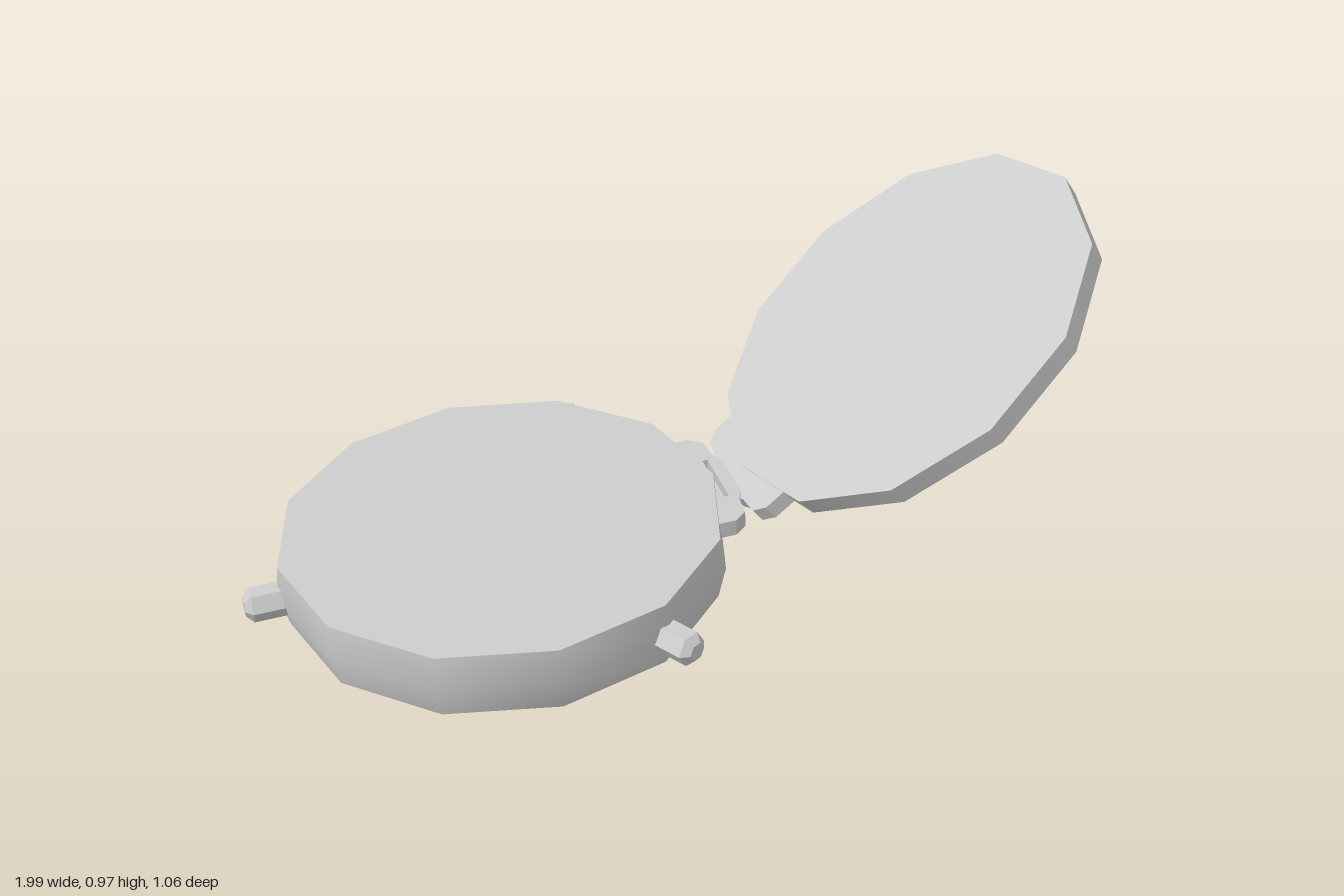
import * as THREE from 'three';

const grey = new THREE.MeshStandardMaterial({ color: 0xcccccc });
const faceted = new THREE.MeshStandardMaterial({ color: 0xcccccc, flatShading: true });

// turned piece from [radius, height] pairs, listed bottom to top
function turned(name, pairs, sides = 12, material = grey) {
  const points = pairs.map(([r, y]) => new THREE.Vector2(r, y));
  const mesh = new THREE.Mesh(new THREE.LatheGeometry(points, sides), material);
  mesh.name = name;
  return mesh;
}

// disc with flat face at y = 0, a short wall and a domed underside
function domedDisc(name, wall, dome) {
  const group = new THREE.Group();
  group.name = name;
  const rim = wall[wall.length - 1];
  group.add(
    turned(name + 'Dome', [...dome, wall[0]]),
    turned(name + 'Wall', wall),
    turned(name + 'Face', [rim, [0, 0]])
  );
  return group;
}

// rounded hinge leaf pointing along +x (dir = 1) or -x (dir = -1)
function hingeLeaf(name, inner, dir, top) {
  const half = [[0, 0.18], [0.065, 0.18], [0.095, 0.155], [0.1, 0.1], [0.115, 0.07]];
  const outline = [...half, ...half.slice().reverse().map(([x, z]) => [x, -z])];
  const shape = new THREE.Shape(outline.map(([x, z]) => new THREE.Vector2(dir * (inner + x), z)));
  if (dir > 0) {
    const a = inner + 0.07, b = inner + 0.082;
    shape.holes.push(new THREE.Path([[a, -0.08], [b, -0.08], [b, 0.08], [a, 0.08]]
      .map(([x, z]) => new THREE.Vector2(x, z))));
  }
  const geometry = new THREE.ExtrudeGeometry(shape, { depth: 0.04, bevelEnabled: false });
  geometry.rotateX(Math.PI / 2);
  geometry.translate(0, top, 0);
  const mesh = new THREE.Mesh(geometry, faceted);
  mesh.name = name;
  return mesh;
}

export function createModel() {
  const model = new THREE.Group();
  model.name = 'foldingCase';

  // base, leaning up slightly towards the hinge
  const base = domedDisc('base',
    [[0.505, -0.16], [0.525, -0.08], [0.515, 0]],
    [[0, -0.304], [0.33, -0.253]]);
  base.position.set(-0.395, 0.307, -0.004);
  base.rotation.set(0.01, 0, 0.053);
  base.add(hingeLeaf('baseHingeLeaf', 0.445, 1, -0.015));

  // three six-sided knobs spaced evenly around the base wall
  for (let i = 0; i < 3; i++) {
    const knob = turned('knob' + (i + 1),
      [[0, 0], [0.04, 0], [0.04, 0.075], [0.022, 0.092], [0, 0.092]], 6, faceted);
    const angle = Math.PI / 3 + i * Math.PI * 2 / 3;
    knob.rotation.set(0, -angle, -Math.PI / 2, 'YXZ');
    knob.position.set(0.51 * Math.cos(angle), -0.085, 0.51 * Math.sin(angle));
    base.add(knob);
  }

  // open lid
  const lid = domedDisc('lid',
    [[0.495, -0.053], [0.5, 0]],
    [[0, -0.19], [0.32, -0.136]]);
  lid.position.set(0.575, 0.66, -0.004);
  lid.rotation.z = 0.683;
  lid.add(hingeLeaf('lidHingeLeaf', 0.44, -1, -0.005));

  model.add(base, lid);
  return model;
}
